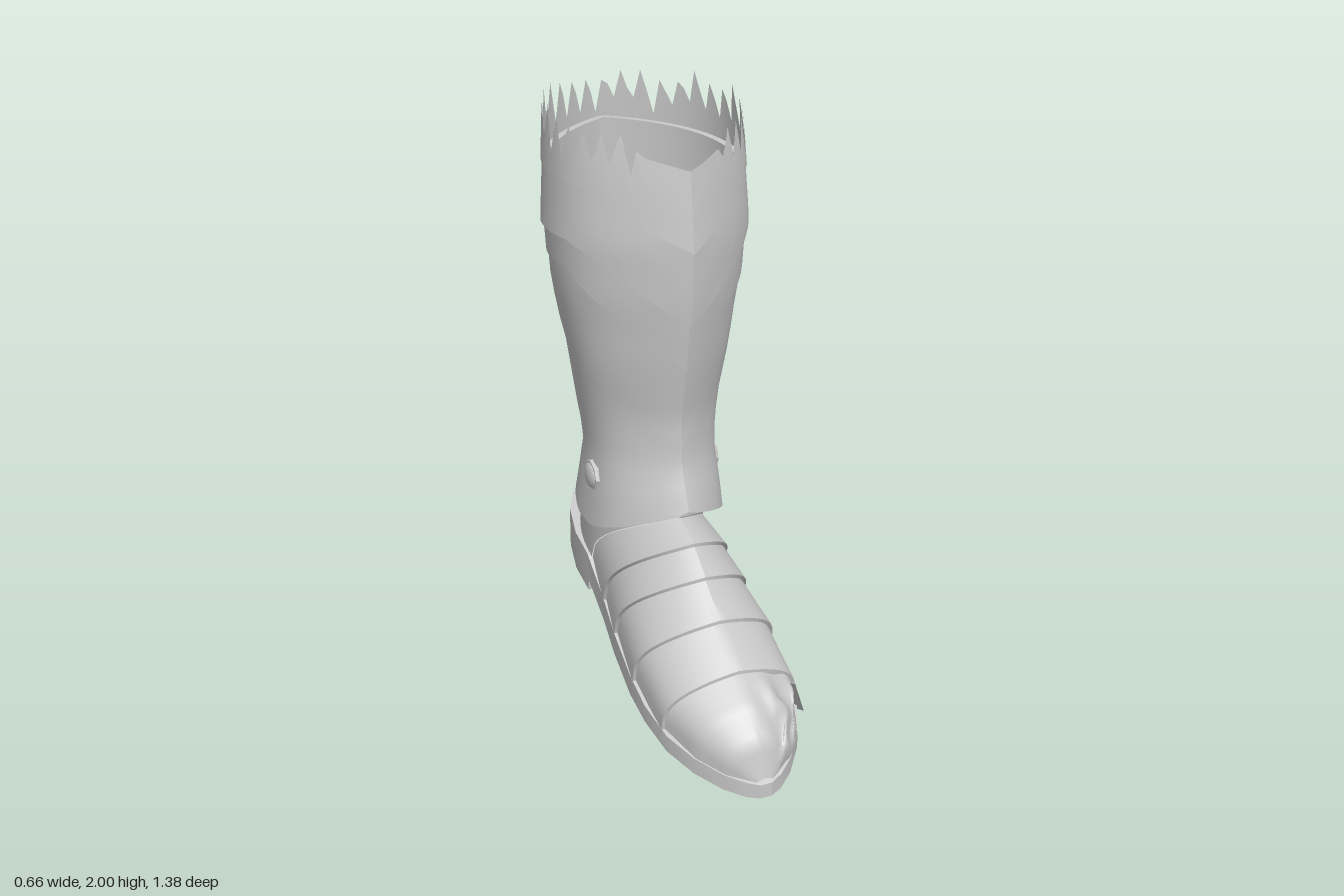
import * as THREE from 'three';
import { toCreasedNormals } from 'three/addons/utils/BufferGeometryUtils.js';

const steel = new THREE.MeshStandardMaterial({ color: 0xc8c8c8, side: THREE.DoubleSide });
steel.name = 'plain steel';

// Piecewise linear lookup in rows [key, a, b, ...]
function lookup(rows, key) {
  let i = 0;
  while (i < rows.length - 2 && key > rows[i + 1][0]) i++;
  const a = rows[i], b = rows[i + 1];
  const t = THREE.MathUtils.clamp((key - a[0]) / (b[0] - a[0]), 0, 1);
  return mix(a, b, t).slice(1);
}

const mix = (a, b, t) => a.map((v, i) => v + (b[i] - v) * t);

// Surface from a grid of points; point(i, j) returns [x, y, z]
function sheet(name, nu, nv, point, crease = 0.5) {
  const pos = [], index = [];
  for (let j = 0; j <= nv; j++) for (let i = 0; i <= nu; i++) pos.push(...point(i, j));
  for (let j = 0; j < nv; j++) for (let i = 0; i < nu; i++) {
    const a = j * (nu + 1) + i, b = a + 1, c = a + nu + 1, d = c + 1;
    index.push(a, b, d, a, d, c);
  }
  const geo = new THREE.BufferGeometry();
  geo.setAttribute('position', new THREE.Float32BufferAttribute(pos, 3));
  geo.setIndex(index);
  const mesh = new THREE.Mesh(toCreasedNormals(geo, crease), steel);
  mesh.name = name;
  return mesh;
}

// Leg profile: y, front z, back z, half width
const LEG = [
  [0.58, 0.13, -0.6, 0.235], [0.72, 0.09, -0.545, 0.222], [0.85, 0.04, -0.5, 0.208],
  [1.0, 0.035, -0.53, 0.228], [1.2, 0.07, -0.535, 0.262], [1.3, 0.085, -0.585, 0.28],
  [1.42, 0.1, -0.597, 0.3], [1.6, 0.108, -0.605, 0.312], [1.83, 0.082, -0.592, 0.298],
  [2.0, 0.04, -0.58, 0.29],
];

// Point on the leg: angle 0 is the front, with a keel at front and back
function legPoint(angle, y, grow) {
  const [front, back, half] = lookup(LEG, y);
  const s = Math.sin(angle), c = Math.cos(angle);
  const keel = (c > 0 ? 0.27 : -0.15) * Math.abs(s) * c * c;
  return [(half + grow) * s, y, (front + back) / 2 + ((front - back) / 2 + grow) * (c - keel)];
}

// Plate edges: fraction of the way from front to back, height
const RIM = [[0, 0.71], [0.25, 0.64], [0.45, 0.585], [0.55, 0.59], [1, 0.74]];
const EDGE_LOW = [[0, 1.19], [0.25, 1.38], [0.43, 1.5], [0.6, 1.5], [0.8, 1.44], [1, 1.3]];
const EDGE_MID = [[0, 1.35], [0.32, 1.57], [0.4, 1.6], [0.6, 1.6], [1, 1.49]];
const EDGE_HIGH = [[0, 1.59], [0.32, 1.77], [0.55, 1.79], [1, 1.84]];
const TOP = [[0, 1.84], [0.13, 1.88], [0.3, 1.89], [0.6, 1.92], [1, 1.93]];

// One wrap-around plate with a turned-in lower lip
function legPlate(name, low, high, grow, rows, jag = () => 0) {
  const n = 96;
  return sheet(name, n, rows + 1, (i, j) => {
    const angle = (i / n) * Math.PI * 2 - Math.PI, key = Math.abs(angle) / Math.PI;
    const y0 = lookup(low, key)[0], y1 = lookup(high, key)[0] + jag(i % n, key);
    if (j === 0) return legPoint(angle, y0, grow - 0.025);
    return legPoint(angle, Math.min(2, y0 + (y1 - y0) * (j - 1) / rows), grow);
  });
}

// Foot arches, back to front: crown z, crown y, side z, side y, half width
const ARCH = [
  [0.05, 0.675, -0.27, 0.41, 0.19], [0.155, 0.62, -0.1, 0.335, 0.21], [0.24, 0.54, 0.03, 0.28, 0.225],
  [0.35, 0.44, 0.22, 0.21, 0.24], [0.485, 0.33, 0.42, 0.135, 0.226],
  [0.585, 0.265, 0.55, 0.095, 0.178], [0.655, 0.18, 0.63, 0.065, 0.112], [0.685, 0.07, 0.68, 0.04, 0.035],
];

function archPoint([cz, cy, sz, sy, w], a, grow = 0) {
  const s = Math.sin(a), c = Math.max(0, Math.cos(a));
  const rise = Math.pow(c, 0.55) * (1 - 0.15 * Math.abs(s));
  return [-0.008 + (w + grow) * s, sy + (cy + grow - sy) * rise, sz + (cz - sz) * c * (1 - 0.2 * Math.abs(s))];
}

// Sole stations: z, half width, bottom y, top y
const SOLE = [
  [-0.688, 0.01, 0.36, 0.51], [-0.665, 0.06, 0.357, 0.506], [-0.61, 0.122, 0.348, 0.496],
  [-0.53, 0.165, 0.333, 0.478], [-0.4, 0.195, 0.312, 0.45], [-0.275, 0.2, 0.29, 0.425],
  [-0.27, 0.2, 0.33, 0.42], [-0.1, 0.215, 0.265, 0.345], [0.03, 0.232, 0.212, 0.29],
  [0.2, 0.247, 0.155, 0.225], [0.32, 0.247, 0.122, 0.18], [0.45, 0.229, 0.085, 0.14],
  [0.55, 0.18, 0.05, 0.105], [0.63, 0.115, 0.022, 0.075], [0.675, 0.06, 0.008, 0.06], [0.692, 0.02, 0.002, 0.05],
];

export function createModel() {
  const boot = new THREE.Group();
  boot.name = 'armoured boot';

  // Leg plates, with a torn top edge of slanted teeth
  let seed = 7;
  const noise = Array.from({ length: 96 }, () => (seed = (seed * 16807) % 2147483647) / 2147483647);
  const tear = (i, key) => key < 0.14 ? 0
    : [0.03 + 0.055 * noise[i], -0.02 - 0.06 * noise[i], -0.01 + 0.03 * noise[i]][i % 3];
  boot.add(
    legPlate('shin plate', RIM, EDGE_LOW, 0, 12),
    legPlate('lower cuff band', EDGE_LOW, EDGE_MID, 0.006, 3),
    legPlate('middle cuff band', EDGE_MID, EDGE_HIGH, 0.016, 4),
    legPlate('torn upper cuff', EDGE_HIGH, TOP, 0.02, 3, tear),
  );

  // Ankle and heel counter, keeled at the back
  boot.add(sheet('heel counter', 48, 3, (i, j) => {
    const a = (i / 48) * Math.PI * 2 - Math.PI, s = Math.sin(a), c = Math.cos(a);
    const back = c * (1 - 0.15 * Math.abs(s));
    const low = c > 0 ? archPoint(ARCH[0], a) : [-0.008 + 0.19 * s, 0.41 - 0.085 * back, -0.27 + 0.375 * back];
    return mix(low, [0.198 * s, 0.78, -0.235 + 0.262 * back], j / 3);
  }));

  // Overlapping foot lames
  for (let k = 0; k < 4; k++) {
    boot.add(sheet('foot lame ' + (k + 1), 28, 3, (i, j) => {
      const a = (i / 28 - 0.5) * Math.PI;
      if (j === 3) return archPoint(ARCH[k + 1], a, -0.012);
      return archPoint(mix(ARCH[k], ARCH[k + 1], j / 2), a, -0.004 + 0.006 * j);
    }));
  }

  // Battered toe cap, dented on its left side
  boot.add(sheet('toe cap', 28, 12, (i, j) => {
    const a = (i / 28 - 0.5) * Math.PI, k = Math.min(2, Math.floor(j / 4));
    const p = archPoint(mix(ARCH[4 + k], ARCH[5 + k], j / 4 - k), a, -0.003);
    const d = THREE.MathUtils.smoothstep(p[0], 0.0, 0.13) * Math.sin(Math.PI * Math.min(1, (j + 1) / 12));
    p[0] += d * 0.012 * Math.sin(i * 0.8 + j * 0.7);
    p[1] += d * 0.025 * Math.sin(i * 0.9 - j * 0.9);
    p[2] += d * 0.012 * Math.sin(i * 0.7 + j * 0.5);
    return p;
  }, 0.8));
  // Torn flap beside the toe
  boot.add(sheet('torn toe flap', 4, 2, (i, j) => [
    0.175 + 0.022 * j + 0.01 * (i % 2), 0.25 - 0.06 * j + 0.015 * Math.sin(i * 2), 0.4 + 0.03 * i - 0.01 * j,
  ]));

  // Sole with raised heel block
  boot.add(sheet('sole', 4, SOLE.length - 1, (i, j) => {
    const [z, w, low, high] = SOLE[j];
    const side = i === 1 || i === 2 ? 1 : -1;
    return [-0.008 + side * w, i === 2 || i === 3 ? high : low, z];
  }, 0.6));
  for (const [name, station] of [['heel end', SOLE[0]], ['toe end', SOLE[SOLE.length - 1]]]) {
    const [z, w, low, high] = station;
    boot.add(sheet(name, 1, 1, (i, j) => [-0.008 + (i ? w : -w), j ? high : low, z]));
  }

  // Ankle pivots: octagonal washer and domed rivet on each side
  for (const side of [-1, 1]) {
    const pivot = new THREE.Group();
    pivot.name = side > 0 ? 'left ankle pivot' : 'right ankle pivot';
    const washer = new THREE.Mesh(toCreasedNormals(new THREE.CylinderGeometry(0.052, 0.064, 0.03, 8), 0.5), steel);
    washer.name = 'washer';
    const rivet = new THREE.Mesh(new THREE.SphereGeometry(0.045, 16, 6, 0, Math.PI * 2, 0, Math.PI / 2), steel);
    rivet.name = 'rivet';
    rivet.scale.y = 0.4;
    rivet.position.y = 0.01;
    pivot.add(washer, rivet);
    pivot.rotation.z = -side * Math.PI / 2;
    pivot.position.set(side * 0.206, 0.755, -0.205);
    boot.add(pivot);
  }
  return boot;
}
